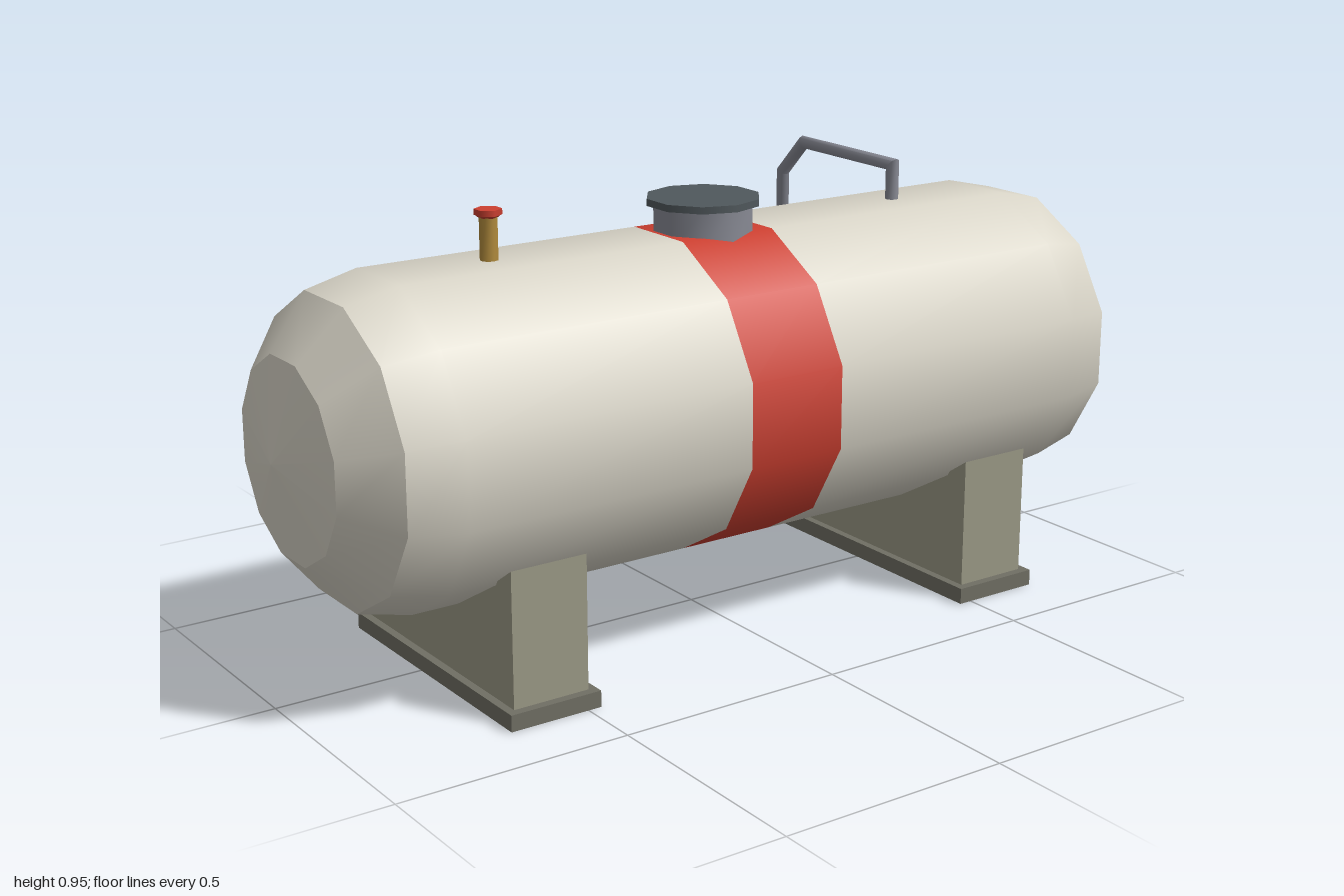
import * as THREE from 'three';
import { toCreasedNormals } from 'three/addons/utils/BufferGeometryUtils.js';

const CY = 0.517, CZ = 0.043, R = 0.343;   // tank axis and corner radius
const BACK = CZ - R * Math.cos(Math.PI / 12); // rear flat of the tank

function material(name, color) {
  const m = new THREE.MeshStandardMaterial({ color });
  m.name = name;
  return m;
}

// Twelve-sided shell along x from [x, radius] pairs, flat on top
function shell(profile) {
  const pts = profile.map(([x, r]) => new THREE.Vector2(r, x));
  return new THREE.LatheGeometry(pts, 12, Math.PI / 12).rotateZ(-Math.PI / 2);
}

// Round pipe with mitred bends through [y, z] points
function pipeGeometry(path, r, sides) {
  const X = new THREE.Vector3(1, 0, 0);
  const pts = path.map(([y, z]) => new THREE.Vector3(0, y, z));
  const last = pts.length - 1, pos = [], idx = [];
  const ring = (i, radius) => {
    const d0 = pts[Math.max(i, 1)].clone().sub(pts[Math.max(i, 1) - 1]).normalize();
    const k = Math.min(i, last - 1);
    const d1 = pts[k + 1].clone().sub(pts[k]).normalize();
    const t = d0.add(d1).normalize();
    const m = t.clone().cross(X).divideScalar(t.dot(d1));
    for (let j = 0; j < sides; j++) {
      const a = (j / sides) * Math.PI * 2;
      const v = pts[i].clone().addScaledVector(X, radius * Math.cos(a)).addScaledVector(m, radius * Math.sin(a));
      pos.push(v.x, v.y, v.z);
    }
  };
  ring(0, 0);
  for (let i = 0; i <= last; i++) ring(i, r);
  ring(last, 0);
  for (let i = 0; i < last + 2; i++) {
    for (let j = 0; j < sides; j++) {
      const a = i * sides + j, b = i * sides + (j + 1) % sides;
      idx.push(a, b, b + sides, a, b + sides, a + sides);
    }
  }
  const g = new THREE.BufferGeometry();
  g.setAttribute('position', new THREE.Float32BufferAttribute(pos, 3));
  g.setIndex(idx);
  return toCreasedNormals(g, 1);
}

export function createModel() {
  const group = new THREE.Group();
  group.name = 'storageTank';
  const cream = material('cream paint', 0xd8d4c7);
  const red = material('red paint', 0xcc3f30);
  const olive = material('saddle grey', 0x9b9986);
  const plateGrey = material('base plate grey', 0x706f64);
  const steel = material('pipe steel', 0x888a94);
  const dark = material('dark lid', 0x50585c);
  const brass = material('brass', 0xb08a3c);
  const ink = material('label bars', 0x4c4f50);

  const add = (name, geometry, mat, x = 0, y = 0, z = 0) => {
    const mesh = new THREE.Mesh(geometry, mat);
    mesh.name = name;
    mesh.position.set(x, y, z);
    group.add(mesh);
    return mesh;
  };
  const box = (name, mat, w, h, d, x, y, z) => add(name, new THREE.BoxGeometry(w, h, d), mat, x, y, z);

  // Tank: two halves with domed ends and a red band between
  const half = [
    ['EndDisc', [[-1, 0], [-0.965, 0.207]]],
    ['EndBevel', [[-0.965, 0.207], [-0.875, 0.316]]],
    ['Body', [[-0.875, 0.316], [-0.76, R], [-0.113, R]]],
  ];
  for (const [name, profile] of half) {
    const mirrored = profile.map(([x, r]) => [-x, r]).reverse();
    add('right' + name, shell(profile), cream, 0, CY, CZ);
    add('left' + name, shell(mirrored), cream, 0, CY, CZ);
  }
  add('redBand', shell([[-0.113, R], [0.113, R]]), red, 0, CY, CZ);

  // Saddles with a hollow top, each on a base plate
  const saddle = new THREE.Shape([
    [-0.3, 0.03], [0.3, 0.03], [0.3, 0.32], [0.24, 0.279], [0.09, 0.19],
    [-0.09, 0.19], [-0.24, 0.279], [-0.3, 0.32],
  ].map(([z, y]) => new THREE.Vector2(z, y)));
  const saddleGeometry = new THREE.ExtrudeGeometry(saddle, { depth: 0.17, bevelEnabled: false })
    .translate(0, 0, -0.085).rotateY(Math.PI / 2);
  for (const [side, s] of [['left', 1], ['right', -1]]) {
    add(side + 'Saddle', saddleGeometry, olive, s * 0.573, 0, CZ);
    box(side + 'BasePlate', plateGrey, 0.205, 0.035, 0.64, s * 0.573, 0.0175, CZ - 0.001);
  }

  // Manhole on top
  const drum = (r0, r1, h, n) => toCreasedNormals(new THREE.CylinderGeometry(r0, r1, h, n), 1.1);
  add('manholeNeck', drum(0.108, 0.108, 0.085, 10), steel, 0, 0.862, CZ);
  add('manholeLid', drum(0.122, 0.122, 0.015, 10), dark, 0, 0.909, CZ);

  // Relief valve
  add('reliefValveStem', drum(0.019, 0.019, 0.1, 8), brass, -0.515, 0.887, CZ);
  add('reliefValveCollar', drum(0.027, 0.02, 0.006, 6), red, -0.515, 0.937, CZ);
  add('reliefValveCap', drum(0.028, 0.028, 0.012, 6), red, -0.515, 0.945, CZ);

  // Filling pipe over the back, with a waisted valve
  const path = [[0.83, CZ - 0.003], [0.925, CZ - 0.003], [0.928, -0.278], [0.848, -0.357], [0.03, -0.357]];
  add('fillingPipe', pipeGeometry(path, 0.0145, 8), steel, 0.515, 0, 0);
  const spool = [[0, -0.0155], [0.027, -0.0155], [0.027, -0.011], [0.021, 0], [0.027, 0.011], [0.027, 0.0155], [0, 0.0155]];
  const spoolGeometry = new THREE.LatheGeometry(spool.map(([r, y]) => new THREE.Vector2(r, y)), 8).rotateX(Math.PI / 2);
  add('pipeValve', toCreasedNormals(spoolGeometry, 0.9), red, 0.515, 0.241, -0.357);

  // Label plate with two bars on the back
  box('labelPlate', cream, 0.285, 0.07, 0.008, 0.228, 0.519, BACK - 0.004);
  box('labelBarUpper', ink, 0.225, 0.015, 0.004, 0.229, 0.533, BACK - 0.009);
  box('labelBarLower', ink, 0.165, 0.015, 0.004, 0.199, 0.503, BACK - 0.009);

  // Hazard diamond with a flame-shaped opening
  const d = 0.083;
  const diamond = new THREE.Shape([[0, -d], [d, 0], [0, d], [-d, 0]].map(([x, y]) => new THREE.Vector2(x, y)));
  const flame = new THREE.Path();
  flame.moveTo(0, -0.042);
  flame.bezierCurveTo(-0.03, -0.04, -0.032, -0.01, -0.02, 0.008);
  flame.lineTo(-0.012, 0);
  flame.quadraticCurveTo(-0.012, 0.025, 0.006, 0.045);
  flame.quadraticCurveTo(0.004, 0.025, 0.018, 0.01);
  flame.bezierCurveTo(0.032, -0.01, 0.03, -0.04, 0, -0.042);
  diamond.holes.push(flame);
  add('hazardDiamond', new THREE.ShapeGeometry(diamond, 4).rotateY(Math.PI), red, -0.31, CY, BACK - 0.002);

  return group;
}
